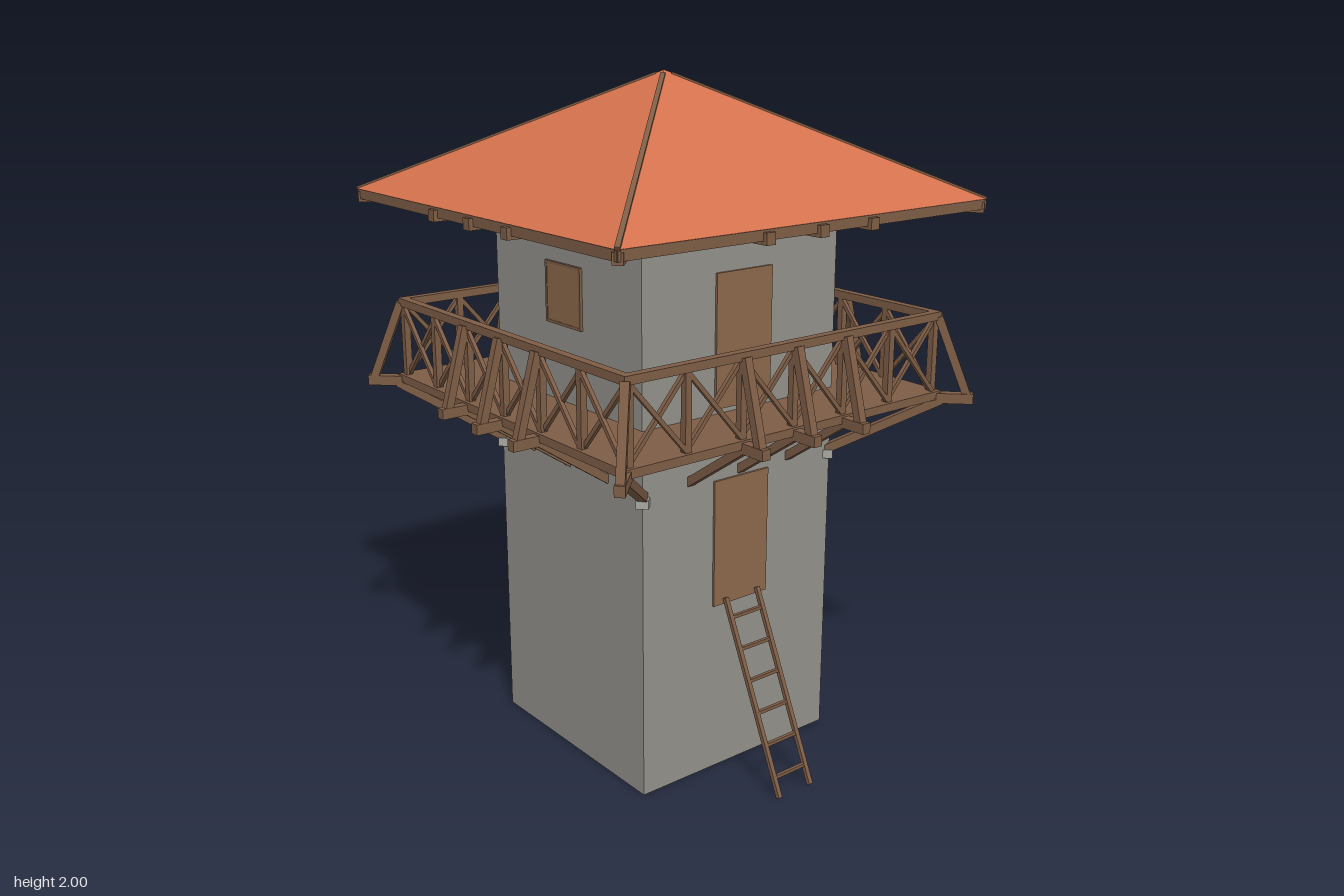
import * as THREE from 'three';

const material = (name, color) => {
  const m = new THREE.MeshStandardMaterial({ color });
  m.name = name;
  return m;
};

export function createModel() {
  const stone = material('stone', 0x92918b);
  const corbelStone = material('pale stone', 0xa9a8a2);
  const timber = material('timber', 0x7e5d46);
  const planks = material('door planks', 0x8c684b);
  const tiles = material('roof tiles', 0xd4714d);

  const tower = new THREE.Group();
  tower.name = 'watchtower';
  const v = (x, y, z) => new THREE.Vector3(x, y, z);

  const box = (parent, name, mat, w, h, d, x, y, z) => {
    const mesh = new THREE.Mesh(new THREE.BoxGeometry(w, h, d), mat);
    mesh.name = name;
    mesh.position.set(x, y, z);
    parent.add(mesh);
    return mesh;
  };

  // Square timber running from a to b
  const beam = (parent, name, a, b, w, h = w, mat = timber) => {
    const mesh = new THREE.Mesh(new THREE.BoxGeometry(w, h, a.distanceTo(b)), mat);
    mesh.name = name;
    mesh.position.copy(a).add(b).multiplyScalar(0.5);
    mesh.lookAt(b);
    parent.add(mesh);
    return mesh;
  };

  // Masonry shaft
  box(tower, 'shaft', stone, 0.7, 1.64, 0.7, 0, 0.82, 0);

  // Pyramid roof over a boarded soffit
  let roofGeometry = new THREE.ConeGeometry(0.645 * Math.SQRT2, 0.345, 4);
  roofGeometry.rotateY(Math.PI / 4);
  roofGeometry = roofGeometry.toNonIndexed();
  roofGeometry.computeVertexNormals();
  const roof = new THREE.Mesh(roofGeometry, tiles);
  roof.name = 'roof';
  roof.position.y = 1.8275;
  tower.add(roof);
  box(tower, 'soffit', timber, 1.28, 0.01, 1.28, 0, 1.649, 0);

  // Each side carries the same balcony, railing and eaves
  const posts = [-0.55, -0.367, -0.183, 0, 0.183, 0.367, 0.55];
  for (let s = 0; s < 4; s++) {
    const side = new THREE.Group();
    side.name = 'balconySide' + (s + 1);

    // Balcony floor and its edge beam
    box(side, 'balconyFloor', timber, 0.92, 0.018, 0.23, 0.115, 1.086, 0.46);
    box(side, 'edgeBeam', timber, 1.15, 0.024, 0.025, 0, 1.082, 0.562);

    // Joists with brackets, railing props and eaves beams
    for (const x of [-0.183, 0, 0.183]) {
      beam(side, 'joist', v(x, 1.074, 0.34), v(x, 1.074, 0.655), 0.028, 0.03);
      beam(side, 'bracket', v(x, 0.915, 0.345), v(x, 1.068, 0.57), 0.024);
      beam(side, 'railProp', v(x, 1.08, 0.632), v(x, 1.315, 0.568), 0.024);
      beam(side, 'eavesJoist', v(x, 1.632, 0.34), v(x, 1.632, 0.655), 0.03, 0.032);
    }

    // Railing
    beam(side, 'topRail', v(-0.567, 1.318, 0.555), v(0.567, 1.318, 0.555), 0.026, 0.024);
    posts.forEach((x, i) => {
      if (i < 6) box(side, 'railPost', timber, 0.02, 0.23, 0.02, x, 1.2, 0.555);
      if (i === 6) return;
      const x2 = posts[i + 1];
      beam(side, 'crossBrace', v(x, 1.095, 0.551), v(x2, 1.306, 0.551), 0.012);
      beam(side, 'crossBrace', v(x, 1.306, 0.559), v(x2, 1.095, 0.559), 0.012);
    });

    // Diagonal timbers and stone corbel at the corner
    beam(side, 'cornerJoist', v(0.33, 1.074, 0.33), v(0.64, 1.074, 0.64), 0.028, 0.03);
    beam(side, 'cornerBracket', v(0.335, 0.9, 0.335), v(0.575, 1.068, 0.575), 0.026);
    beam(side, 'cornerProp', v(0.628, 1.08, 0.628), v(0.562, 1.315, 0.562), 0.024);
    beam(side, 'cornerCorbel', v(0.315, 0.892, 0.315), v(0.358, 0.892, 0.358), 0.036, 0.026, corbelStone);
    beam(side, 'cornerEavesJoist', v(0.33, 1.632, 0.33), v(0.637, 1.632, 0.637), 0.028, 0.03);

    // Eaves beam and hip rafter
    box(side, 'eavesBeam', timber, 1.28, 0.028, 0.025, 0, 1.64, 0.63);
    beam(side, 'hipRafter', v(0.64, 1.655, 0.64), v(0.015, 1.989, 0.015), 0.014, 0.012);

    side.rotation.y = s * Math.PI / 2;
    tower.add(side);
  }

  // Doors on the front, one above the other
  box(tower, 'lowerDoor', planks, 0.2, 0.38, 0.008, 0, 0.71, 0.353);
  box(tower, 'upperDoor', planks, 0.2, 0.38, 0.008, 0, 1.3, 0.353);

  // Shuttered windows: one on each other side, and a lower one at the back
  const shutter = (name, y, angle) => {
    const group = new THREE.Group();
    group.name = name;
    box(group, 'shutter', planks, 0.16, 0.17, 0.008, 0, y, 0.353);
    for (const k of [-1, 1]) {
      box(group, 'frame', timber, 0.008, 0.176, 0.009, k * 0.08, y, 0.354);
      box(group, 'frame', timber, 0.16, 0.008, 0.009, 0, y + k * 0.084, 0.354);
    }
    group.rotation.y = angle;
    tower.add(group);
  };
  shutter('leftWindow', 1.405, Math.PI / 2);
  shutter('backWindow', 1.405, Math.PI);
  shutter('rightWindow', 1.405, -Math.PI / 2);
  shutter('lowerBackWindow', 0.805, Math.PI);

  // Ladder leaning on the lower door sill
  const ladder = new THREE.Group();
  ladder.name = 'ladder';
  const foot = v(0, 0.005, 0.607), head = v(0, 0.54, 0.362);
  for (const x of [-0.06, 0.06]) {
    beam(ladder, 'ladderRail', foot.clone().setX(x), head.clone().setX(x), 0.013);
  }
  for (let i = 0; i < 6; i++) {
    const p = foot.clone().lerp(head, 0.1 + i * 0.16);
    box(ladder, 'rung', timber, 0.12, 0.01, 0.01, 0, p.y, p.z);
  }
  tower.add(ladder);

  return tower;
}
